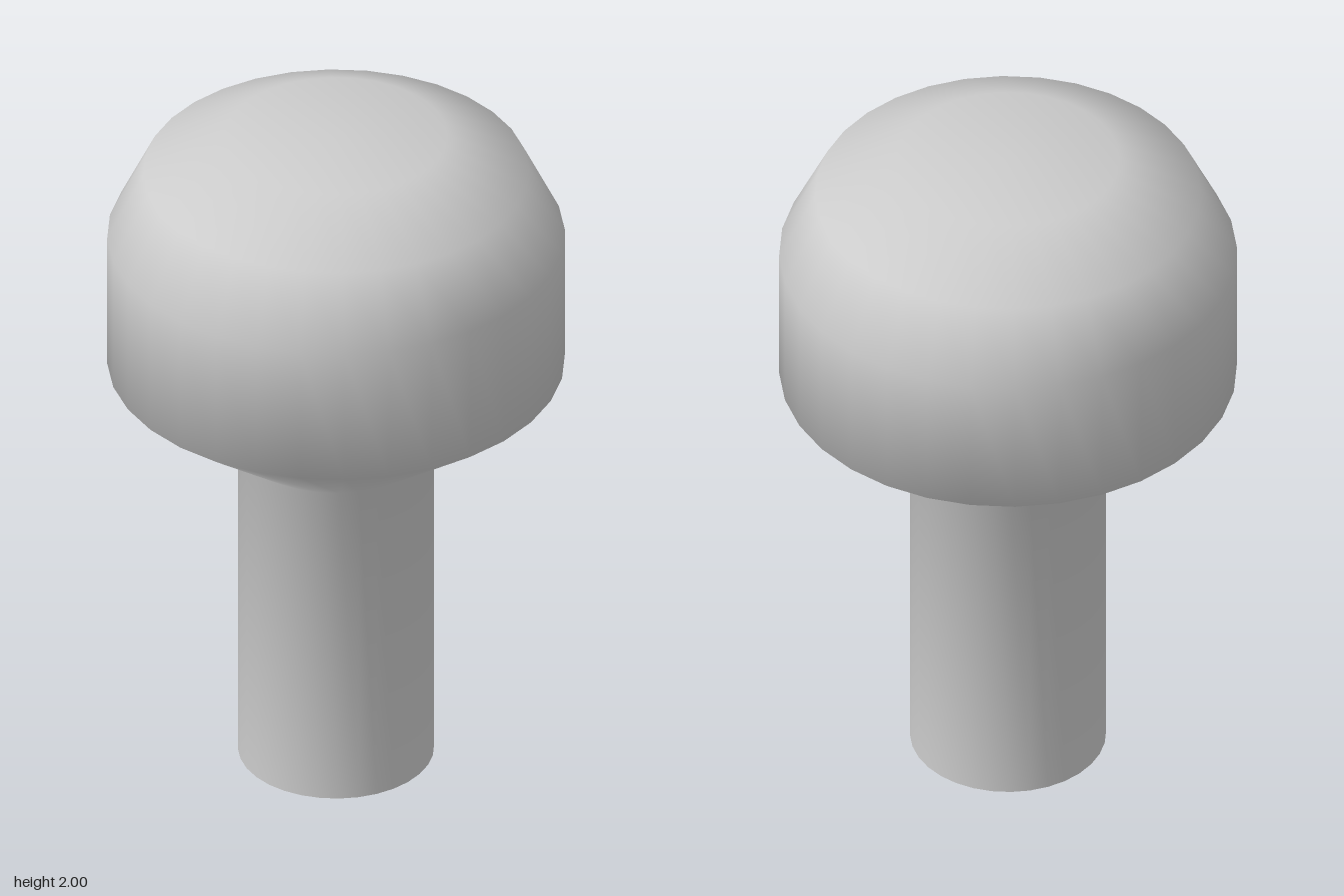
import * as THREE from 'three';

export function createModel() {
  const group = new THREE.Group();
  group.name = 'knob';

  const plainGrey = new THREE.MeshStandardMaterial({ color: 0xcccccc, side: THREE.DoubleSide });
  plainGrey.name = 'plainGrey';

  // One smooth turned shell, open at the foot: stem, flare, head, flat crown
  const profile = [
    [0.273, 0],
    [0.273, 1],
    [0.637, 1.27],
    [0.637, 1.68],
    [0.537, 1.885],
    [0.31, 2],
    [0, 2],
  ].map(([r, y]) => new THREE.Vector2(r, y));

  const shell = new THREE.Mesh(new THREE.LatheGeometry(profile, 32), plainGrey);
  shell.name = 'stemAndHead';
  group.add(shell);

  return group;
}
